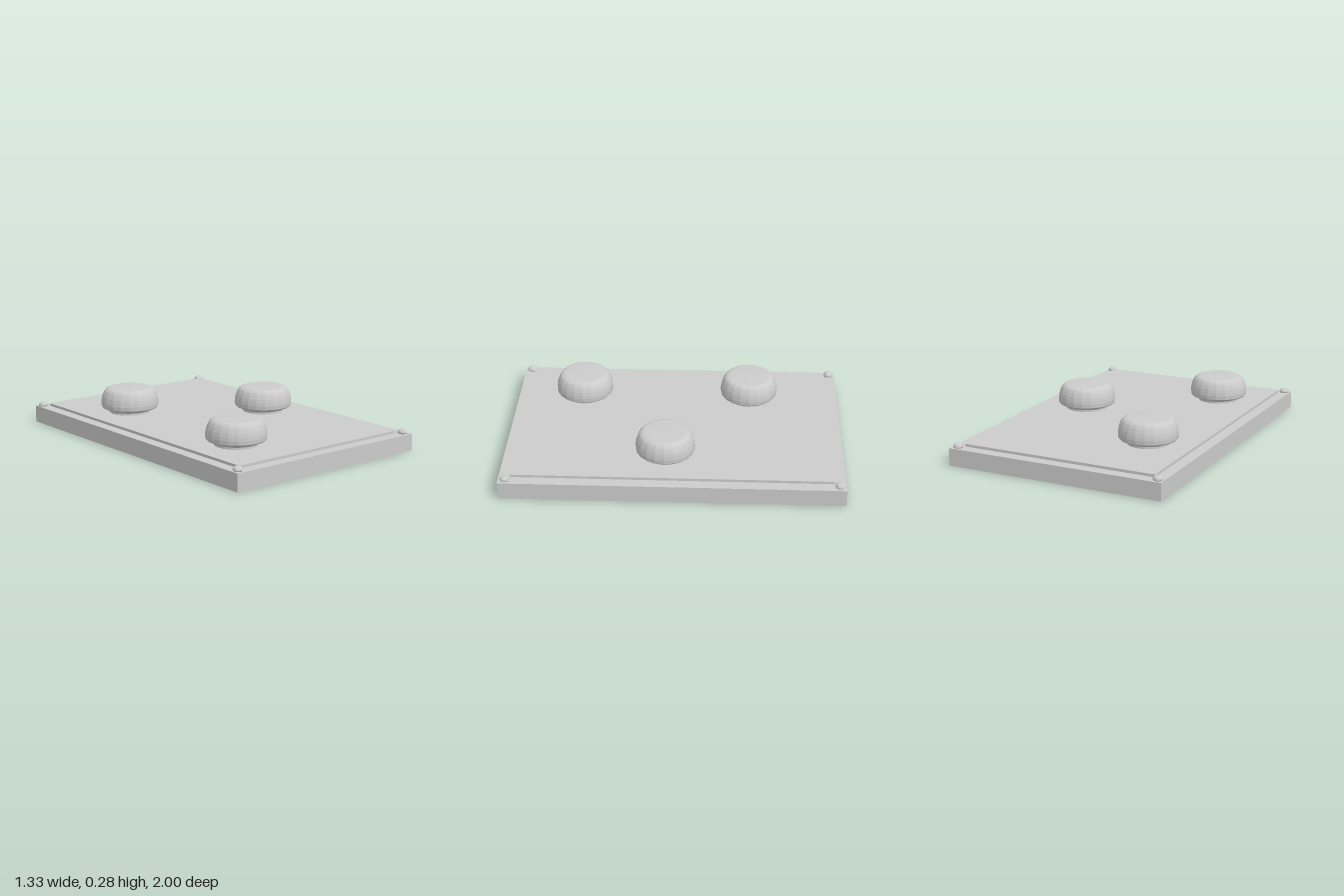
import * as THREE from 'three';

const HALF_X = 0.665, HALF_Z = 1, RIM_Y = 0.104;
const PANEL_X = 0.598, PANEL_Z = 0.932, PANEL_Y = 0.12;

const material = new THREE.MeshStandardMaterial({ color: 0xcccccc, side: THREE.DoubleSide });
const facetedMaterial = new THREE.MeshStandardMaterial({ color: 0xcccccc, side: THREE.DoubleSide, flatShading: true });

function addMesh(parent, name, geometry, mat = material) {
  const mesh = new THREE.Mesh(geometry, mat);
  mesh.name = name;
  parent.add(mesh);
  return mesh;
}

// Four thin upright sheets around a rectangle
function addWalls(parent, name, hx, hz, y0, y1) {
  const walls = new THREE.Group();
  walls.name = name;
  for (let i = 0; i < 4; i++) {
    const endWall = i % 2 === 0;
    const geometry = new THREE.PlaneGeometry(2 * (endWall ? hx : hz), y1 - y0);
    geometry.translate(0, (y0 + y1) / 2, endWall ? hz : hx);
    geometry.rotateY((i * Math.PI) / 2);
    addMesh(walls, name + 'Side', geometry);
  }
  parent.add(walls);
}

function rectangle(PathType, hx, hz) {
  return new PathType([[-hx, -hz], [hx, -hz], [hx, hz], [-hx, hz]].map(([x, y]) => new THREE.Vector2(x, y)));
}

function lathe(points, segments) {
  return new THREE.LatheGeometry(points.map(([r, y]) => new THREE.Vector2(r, y)), segments);
}

export function createModel() {
  const model = new THREE.Group();
  model.name = 'knobPanel';

  // Hollow tray, open underneath, with a flat rim and a raised panel
  addWalls(model, 'outerWall', HALF_X, HALF_Z, 0, RIM_Y);
  const rim = rectangle(THREE.Shape, HALF_X, HALF_Z);
  rim.holes.push(rectangle(THREE.Path, PANEL_X, PANEL_Z));
  addMesh(model, 'rim', new THREE.ShapeGeometry(rim).rotateX(-Math.PI / 2).translate(0, RIM_Y, 0));
  addWalls(model, 'panelStep', PANEL_X, PANEL_Z, RIM_Y, PANEL_Y);
  addMesh(model, 'raisedPanel',
    new THREE.PlaneGeometry(2 * PANEL_X, 2 * PANEL_Z).rotateX(-Math.PI / 2).translate(0, PANEL_Y, 0));

  // Rounded knobs on narrow stems that pass just through the panel
  const knobGeometry = lathe([
    [0.126, 0.115], [0.126, 0.132], [0.132, 0.139], [0.15, 0.144], [0.168, 0.15], [0.174, 0.157],
    [0.176, 0.18], [0.174, 0.2], [0.17, 0.22], [0.162, 0.241], [0.153, 0.257],
    [0.142, 0.267], [0.125, 0.273], [0.08, 0.275], [0, 0.277],
  ], 20);
  for (const [x, z] of [[-0.325, -0.445], [-0.325, 0.582], [0.337, 0.048]]) {
    addMesh(model, 'knob', knobGeometry, facetedMaterial).position.set(x, 0, z);
  }

  // Corner screws: short shank below the rim and a domed head
  const screwGeometry = lathe([
    [0, 0.092], [0.012, 0.092], [0.012, 0.104], [0.025, 0.104], [0.029, 0.109], [0.028, 0.117],
    [0.022, 0.126], [0.012, 0.131], [0.007, 0.131], [0.006, 0.129], [0, 0.129],
  ], 12);
  for (const x of [-0.63, 0.625]) {
    for (const z of [-0.962, 0.959]) {
      addMesh(model, 'cornerScrew', screwGeometry, facetedMaterial).position.set(x, 0, z);
    }
  }
  return model;
}
